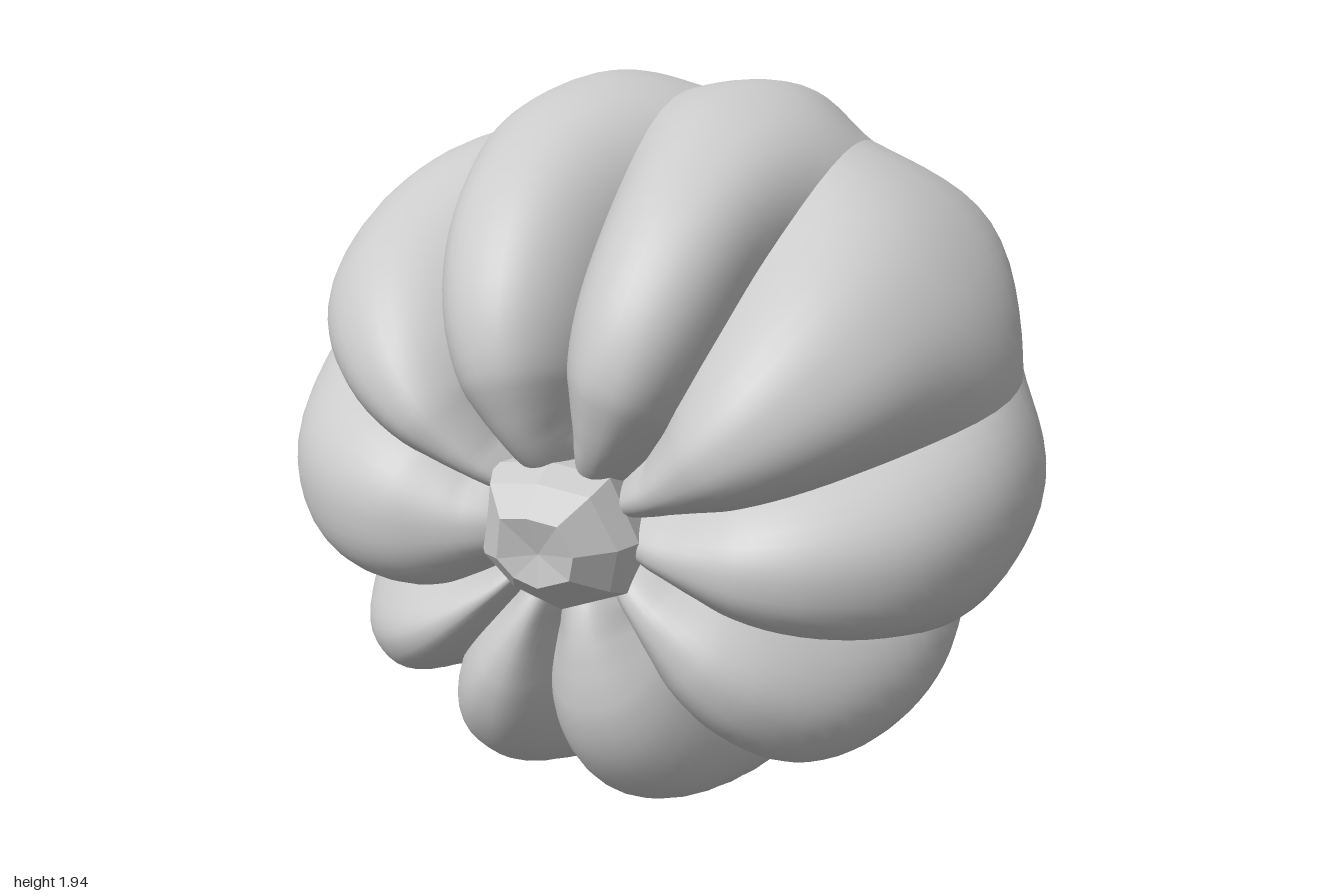
import * as THREE from 'three';
import { ParametricGeometry } from 'three/addons/geometries/ParametricGeometry.js';

// Each rib starts at a groove: outer angle, angle near the stem, groove radius, ridge radius
const RIBS = [
  [-26, -23, 0.91, 1.0], [13, 15, 0.945, 0.995], [59, 46, 0.925, 0.965], [87.5, 87, 0.91, 0.965],
  [120, 130, 0.915, 0.985], [162, 157, 0.95, 1.0], [204, 213, 0.93, 0.975], [233, 232, 0.93, 0.995],
  [264, 259, 0.965, 0.995], [298, 302, 0.925, 0.995],
];

// Ridge profile (radius, z) running from the stem to the blossom end
const PROFILE = new THREE.SplineCurve([
  [0, 0.66], [0.12, 0.68], [0.22, 0.735], [0.33, 0.77], [0.46, 0.785], [0.61, 0.74], [0.76, 0.63],
  [0.87, 0.48], [0.96, 0.25], [1, 0], [0.99, -0.2], [0.945, -0.4], [0.845, -0.6], [0.7, -0.74],
  [0.53, -0.83], [0.35, -0.855], [0.18, -0.85], [0.08, -0.83], [0, -0.825],
].map(([r, z]) => new THREE.Vector2(r, z)));

const { lerp, smoothstep, degToRad } = THREE.MathUtils;

function ribGeometry(i) {
  const a = RIBS[i];
  const b = RIBS[(i + 1) % RIBS.length];
  const turn = i === RIBS.length - 1 ? 360 : 0;
  const ridge = a[3] - (a[2] + b[2]) / 2;
  return new ParametricGeometry((u, v, target) => {
    const p = PROFILE.getPoint(u);
    const t = PROFILE.getTangent(u);
    const front = p.y > 0 ? Math.min(1, (1 - p.x) / 0.75) : 0;
    const angle = degToRad(lerp(
      lerp(a[0], b[0] + turn, v), lerp(a[1], b[1] + turn, v), front));
    // Rounded rib, creased towards the stem and softly rolling towards the back
    const valley = lerp(
      Math.pow(Math.abs(2 * v - 1), 2.4), (1 + Math.cos(2 * Math.PI * v)) / 2,
      smoothstep(-p.y, -0.3, 0.5));
    const scale = lerp(a[2], b[2], v) + ridge * (1 - valley);
    const depth = p.y > 0
      ? 0.11 * smoothstep(p.y, 0.05, 0.65) * Math.min(1, p.x / 0.25)
      : 0.015 * Math.min(1, p.x / 0.3) * smoothstep(-p.y, 0, 0.6);
    const r = Math.max(0, p.x * scale + t.y * depth * valley);
    let z = p.y - t.x * depth * valley;
    // Upper shoulders stand further forward than the lower ones
    if (z > 0) z += 0.04 * Math.sin(angle) * (z / 0.8) * Math.min(1, p.x / 0.4);
    target.set(r * Math.cos(angle), 1 + r * Math.sin(angle) - 0.03 * front, z);
  }, 56, 14);
}

// Loft of rings, closed with a centre point at the end
function loft(rings, tip) {
  const n = rings[0].length;
  const pos = rings.flat(2).concat(tip);
  const index = [];
  for (let k = 0; k < rings.length; k++) {
    for (let j = 0; j < n; j++) {
      const p = k * n + j, q = k * n + (j + 1) % n;
      if (k < rings.length - 1) index.push(p, q, q + n, p, q + n, p + n);
      else index.push(p, q, rings.length * n);
    }
  }
  const g = new THREE.BufferGeometry();
  g.setAttribute('position', new THREE.Float32BufferAttribute(pos, 3));
  g.setIndex(index);
  const flat = g.toNonIndexed();
  flat.computeVertexNormals();
  return flat;
}

export function createModel() {
  const model = new THREE.Group();
  model.name = 'pumpkin';
  const skin = new THREE.MeshStandardMaterial({ color: 0xcccccc });
  const rough = new THREE.MeshStandardMaterial({ color: 0xcccccc, flatShading: true });

  // Ribbed body
  const body = new THREE.Group();
  body.name = 'body';
  RIBS.forEach((_, i) => {
    const rib = new THREE.Mesh(ribGeometry(i), skin);
    rib.name = `rib${i + 1}`;
    body.add(rib);
  });
  model.add(body);

  // Chunky angular stem stub with a slightly hollow cut end
  const outline = [
    [0.2, 0.01], [0.13, 0.16], [-0.02, 0.18], [-0.16, 0.16],
    [-0.2, -0.06], [-0.12, -0.15], [0, -0.19], [0.17, -0.12],
  ];
  const levels = [[0.95, 0.58], [1, 0.71], [0.85, 0.765], [0.48, 0.845]];
  const rings = levels.map(([s, z], k) => outline.map(([x, y]) => [
    x * s - 0.01, 0.97 + y * s + (k === 3 ? 0.01 : 0), z + (k > 1 ? 0.12 * y * s : 0),
  ]));
  const stem = new THREE.Mesh(loft(rings, [-0.01, 0.97, 0.825]), rough);
  stem.name = 'stem';
  model.add(stem);

  // Small button at the blossom end
  const button = new THREE.Mesh(new THREE.SphereGeometry(0.065, 12, 8), skin);
  button.name = 'blossomButton';
  button.scale.z = 0.4;
  button.position.set(0, 1, -0.825);
  model.add(button);

  return model;
}
